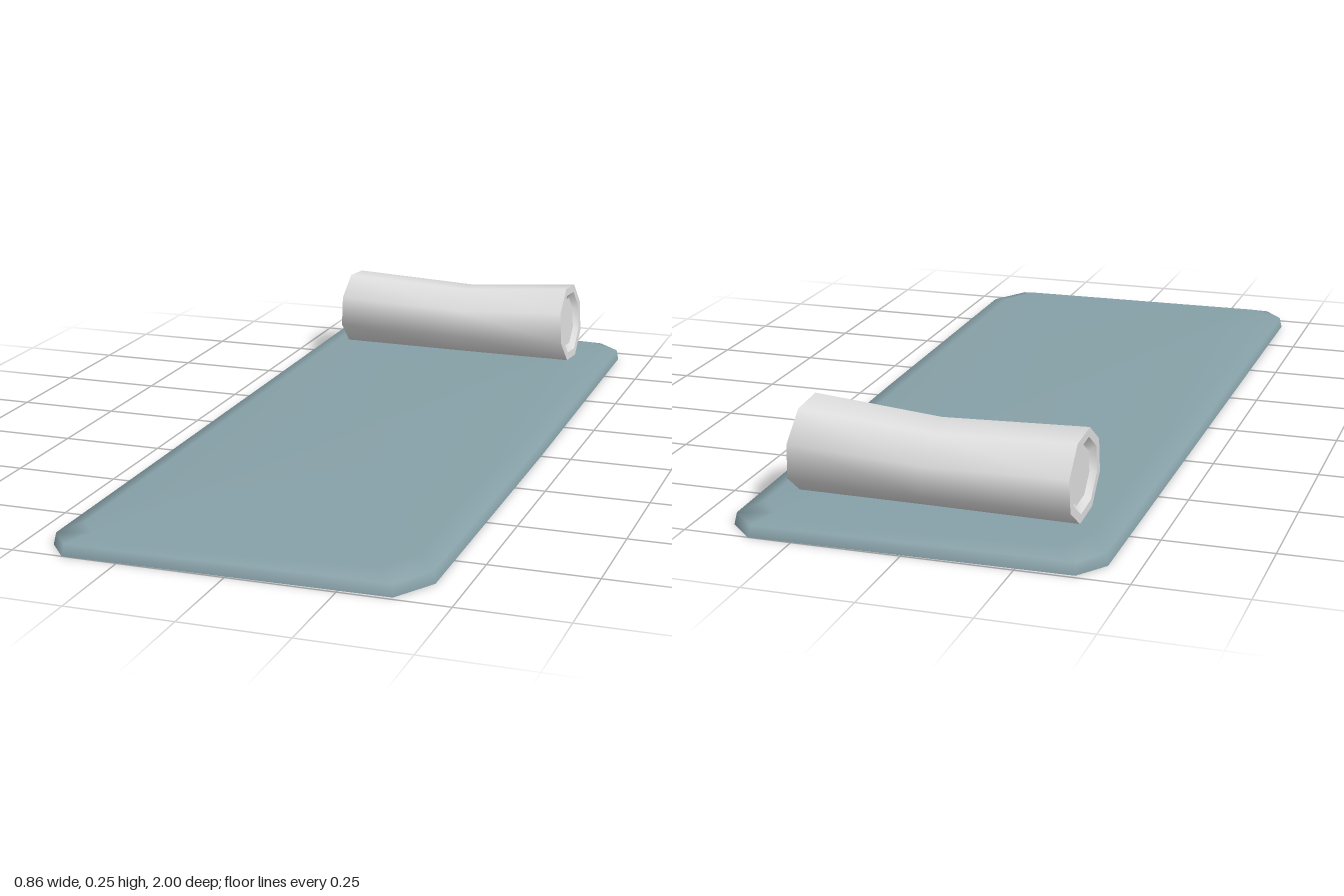
import * as THREE from 'three';

// Skin through matching rings of [x, y, z] points; smooth normals
function loft(rings) {
  const n = rings[0].length, idx = [];
  for (let i = 0; i < rings.length - 1; i++) {
    for (let j = 0; j < n; j++) {
      const a = i * n + j, b = i * n + (j + 1) % n;
      idx.push(a, a + n, b, b, a + n, b + n);
    }
  }
  const geo = new THREE.BufferGeometry();
  geo.setAttribute('position', new THREE.Float32BufferAttribute(rings.flat(2), 3));
  geo.setIndex(idx);
  geo.computeVertexNormals();
  return geo;
}

// Scale a ring about its centre and shift it
function shrink(ring, k, dx = 0) {
  const c = [0, 1, 2].map(a => ring.reduce((s, p) => s + p[a], 0) / ring.length);
  return ring.map(p => p.map((v, a) => c[a] + (v - c[a]) * k + (a === 0 ? dx : 0)));
}

export function createModel() {
  const group = new THREE.Group();
  const matBlue = new THREE.MeshStandardMaterial({ color: 0x86a0a7 });
  matBlue.name = 'greyBlueMat';
  const white = new THREE.MeshStandardMaterial({ color: 0xe0e0e0 });
  white.name = 'whiteBolster';
  const add = (name, geo, material, parent = group) => {
    const mesh = new THREE.Mesh(geo, material);
    mesh.name = name;
    parent.add(mesh);
  };

  // Mat: clipped corners, sloping rim
  const outline = [
    [-0.43, -0.92], [-0.38, -0.99], [0.35, -1.0], [0.41, -0.94], [0.425, 0],
    [0.43, 0.89], [0.37, 0.99], [-0.38, 1.0], [-0.43, 0.94], [-0.43, 0],
  ];
  const layer = (y, inset) => outline.map(([x, z]) =>
    [x * (1 - inset / 0.43), y, z * (1 - inset)]);
  const base = layer(0, 0), rim = layer(0.027, 0.005), top = layer(0.042, 0.053);
  add('matTop', loft([base, rim, top, top.map(() => [0, 0.042, 0])]), matBlue);
  add('matUnderside', loft([base.map(() => [0, 0, 0]), base]), matBlue);

  // Bolster: eight-sided roll, slightly waisted in the middle
  const bolster = new THREE.Group();
  bolster.name = 'bolster';
  group.add(bolster);
  const section = (x, lean, cz, rz, topY) => Array.from({ length: 8 }, (_, j) => {
    const a = (j + 0.62) * Math.PI / 4, s = Math.sin(a);
    const h = (topY - 0.04) / 2;
    return [x - lean * s, 0.04 + h + h * s * 1.03, cz + rz * Math.cos(a)];
  });
  const left = section(-0.338, 0, -0.778, 0.122, 0.238);
  const middle = section(0, 0, -0.77, 0.119, 0.224);
  const right = section(0.308, 0.007, -0.765, 0.122, 0.249);
  add('bolsterRoll', loft([left, middle, right]), white, bolster);

  // End caps: flat border, sloped step and recessed disc
  for (const [name, ring, side] of [['leftEnd', right, 1], ['rightEnd', left, -1]]) {
    const steps = [ring, shrink(ring, 0.8), shrink(ring, 0.64, -side * 0.012),
      shrink(ring, 0, -side * 0.012)];
    ['Border', 'Step', 'Disc'].forEach((part, i) => {
      const pair = [steps[i], steps[i + 1]];
      add(name + part, loft(side > 0 ? pair : pair.reverse()), white, bolster);
    });
  }
  return group;
}
